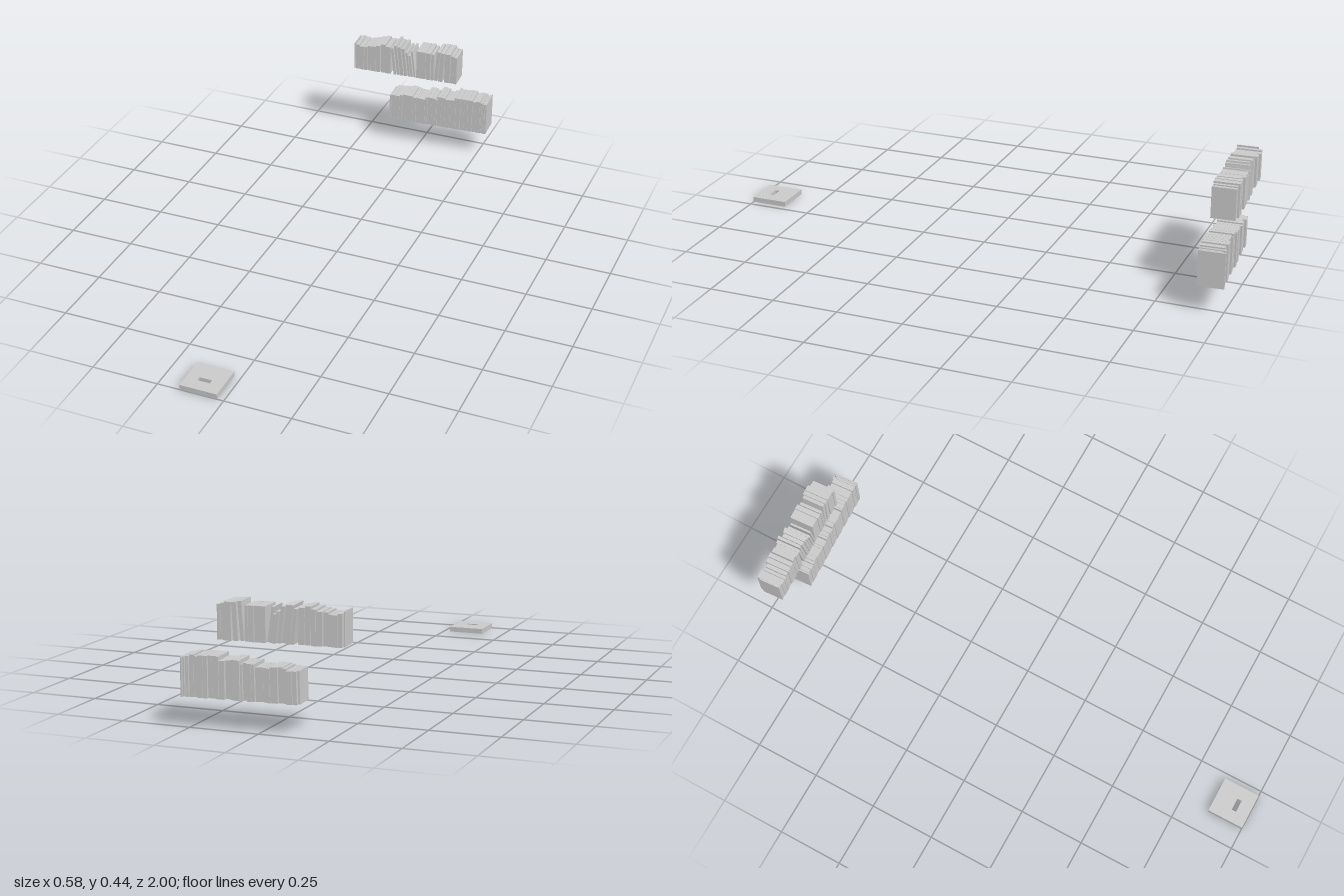
import * as THREE from 'three';

const grey = new THREE.MeshStandardMaterial({ color: 0xcccccc, flatShading: true });

// Sizes in thousandths: [left edge at the foot, thickness, height, lean to the left in degrees]
const upperBooks = [
  [-287, 5, 116, 0], [-281, 16, 110, 0], [-265, 20, 105, 0], [-244, 13, 105, 0], [-231, 16, 111, 0],
  [-214, 21, 113, 0], [-193, 18, 119, 0], [-171, 20, 127, 1], [-150, 21, 121, 1], [-116, 12, 118, 7],
  [-102, 12, 130, 7], [-88, 16, 127, 7], [-70, 13, 123, 7], [-55, 10, 107, 7], [-43, 10, 96, 7],
  [-29, 8, 119, 7.5], [-20, 39, 120, 0], [20, 20, 120, 0], [43, 12, 118, 0], [57, 14, 131, -4],
  [75, 17, 129, -3], [100, 24, 128, 0], [125, 13, 122, 0], [138, 14, 118, 0],
];
const lowerBooks = [
  [-129, 7, 111, -1.5], [-122, 16, 111, -1.5], [-106, 20, 111, -1.5], [-86, 12, 117, -1.5],
  [-74, 18, 120, -1.5], [-56, 27, 120, -1.2], [-29, 14, 115, -1], [-15, 11, 115, -1],
  [-4, 28, 115, -1], [24, 11, 126, -1], [35, 18, 126, -1], [53, 16, 126, -1], [69, 7, 122, -1],
  [76, 18, 135, -0.6], [94, 16, 135, -0.6], [110, 21, 130, -0.4], [131, 20, 130, 0],
  [151, 7, 143, 0], [158, 19, 143, 0], [177, 15, 143, 0], [192, 16, 143, 0], [208, 19, 143, 0],
  [227, 15, 138, 0], [242, 17, 143, 0], [259, 6, 138, 0], [265, 5, 138, 0], [270, 5, 135, 0],
  [275, 6, 135, 0], [281, 6, 135, 0],
];

// A book resting on the bottom corner it leans towards, spine on the local z = 0 plane
function makeBook(thickness, height, depth, lean) {
  const side = lean < 0 ? -1 : 1;
  const geometry = new THREE.BoxGeometry(thickness, height, depth);
  geometry.translate(side * thickness / 2, height / 2, -depth / 2);
  const book = new THREE.Mesh(geometry, grey);
  book.rotation.z = THREE.MathUtils.degToRad(lean);
  book.name = 'book';
  return book;
}

// A row of books, turned slightly so that its right end sits further back
function makeRow(name, books, startX, baseY, frontZ) {
  const row = new THREE.Group();
  row.name = name;
  books.forEach(([left, width, height, lean], i) => {
    const thickness = (width - 1) / 1000;
    const depth = 0.081 + 0.015 * Math.abs(Math.sin(i * 2.3));
    const book = makeBook(thickness, height / 1000, depth, lean);
    book.position.x = left / 1000 - startX + (lean < 0 ? thickness : 0);
    book.position.z = -0.002 * (i % 3 === 1);
    row.add(book);
  });
  row.position.set(startX, baseY, frontZ);
  row.rotation.y = 0.056;
  return row;
}

// Square slab with a small slot through it
function makePlate() {
  const shape = new THREE.Shape([
    [-0.0705, -0.07], [0.0705, -0.07], [0.0705, 0.07], [-0.0705, 0.07],
  ].map(([x, y]) => new THREE.Vector2(x, y)));
  shape.holes.push(new THREE.Path([
    [-0.026, -0.023], [-0.026, -0.005], [0.022, -0.005], [0.022, -0.023],
  ].map(([x, y]) => new THREE.Vector2(x, y))));
  const geometry = new THREE.ExtrudeGeometry(shape, { depth: 0.02, bevelEnabled: false });
  geometry.rotateX(-Math.PI / 2);
  const plate = new THREE.Mesh(geometry, grey);
  plate.name = 'slottedPlate';
  plate.position.set(-0.0955, 0, 0.93);
  return plate;
}

export function createModel() {
  const model = new THREE.Group();
  model.name = 'bookRowsAndPlate';
  model.add(
    makeRow('upperBookRow', upperBooks, -0.287, 0.304, -0.884),
    makeRow('lowerBookRow', lowerBooks, -0.129, 0.102, -0.882),
    makePlate(),
  );
  return model;
}
